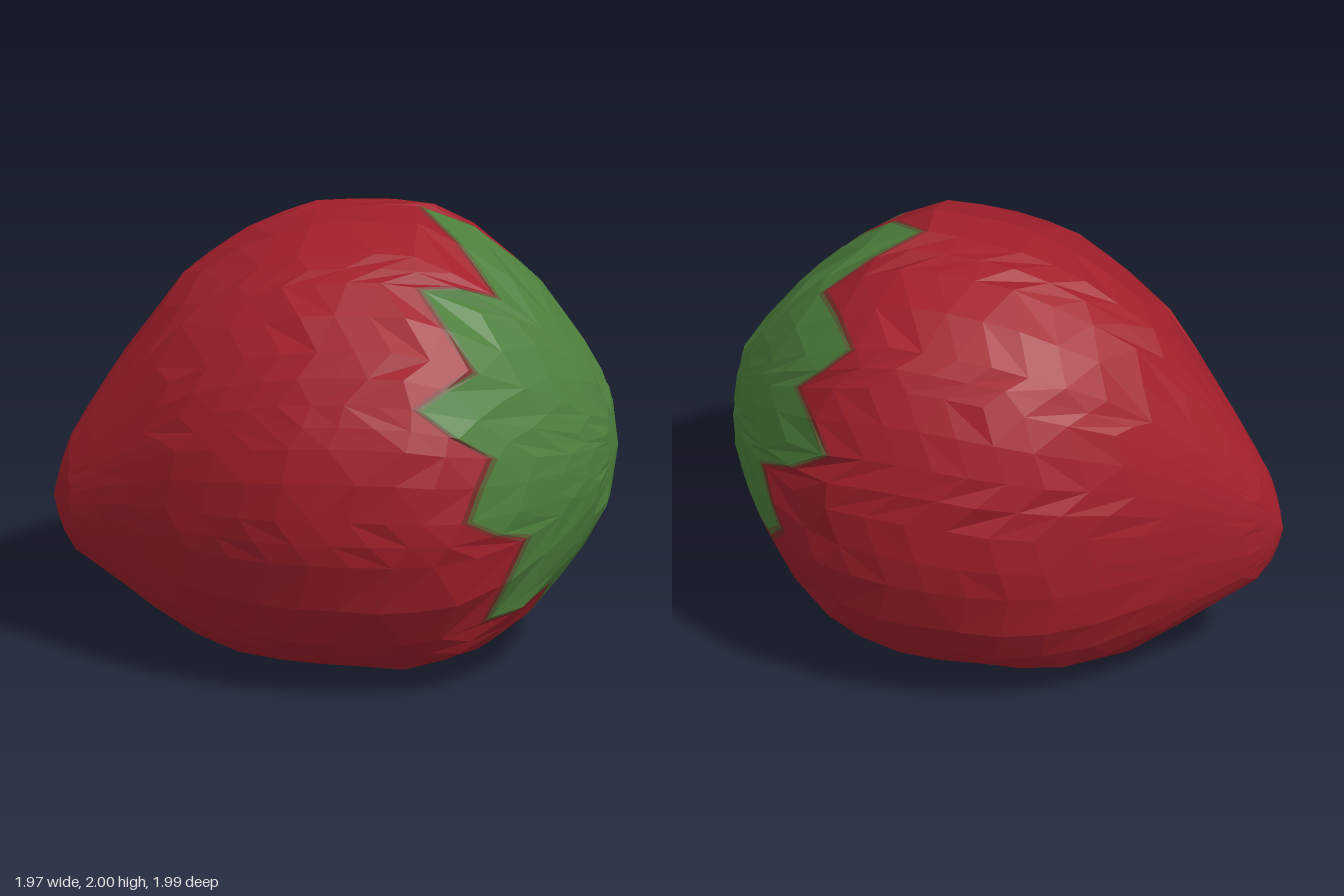
import * as THREE from 'three';

// Cross-sections along the berry's axis, tip to stem end:
// [u, half width, half height, centre y, sideways shift]
const SECTIONS = [
  [-1.32, 0, 0, 0.68, 0.03], [-1.29, 0.07, 0.13, 0.69, 0.03], [-1.24, 0.15, 0.26, 0.71, 0.02],
  [-1.05, 0.32, 0.48, 0.8, 0], [-0.76, 0.6, 0.785, 0.9, -0.02], [-0.5, 0.79, 0.92, 0.945, -0.03],
  [-0.25, 0.905, 0.985, 0.985, -0.02], [0, 0.93, 1, 1, -0.01], [0.25, 0.93, 1, 1, 0],
  [0.5, 0.86, 0.905, 0.975, 0], [0.75, 0.66, 0.715, 0.96, 0], [0.95, 0.41, 0.46, 0.96, 0],
  [1.07, 0.2, 0.26, 0.97, 0], [1.11, 0, 0, 0.97, 0],
];

// Leaf outline round the axis: [angle in degrees, u], tips and notches in turn
const LEAF_EDGE = [
  [-112, 0.68], [-93, 0.88], [-78, 0.71], [-60, 0.84], [-44, 0.59], [-15, 0.77],
  [-4, 0.53], [16, 0.63], [27, 0.31], [40, 0.54], [58, 0.29], [67, 0.61],
  [95, 0.25], [109, 0.65], [133, 0.42], [144, 0.67], [163, 0.47], [178, 0.84],
  [194, 0.72], [222, 0.88],
];
const STEPS = 2; // columns between neighbouring outline points
const RED_ROWS = 14, GREEN_ROWS = 5;

function seeded(seed) {
  return () => {
    seed = (seed * 16807) % 2147483647;
    return seed / 2147483647;
  };
}

// Fractional section index for an axis position
function indexAt(u) {
  let i = 0;
  while (i < SECTIONS.length - 2 && SECTIONS[i + 1][0] < u) i++;
  return i + (u - SECTIONS[i][0]) / (SECTIONS[i + 1][0] - SECTIONS[i][0]);
}

// Point on the body: full below, leaner on the upper left; the axis lies diagonally in plan
function surfacePoint(s, angle, scale) {
  const i = Math.min(Math.floor(s), SECTIONS.length - 2);
  const [u, r, h, cy, shift] = SECTIONS[i].map((a, k) => THREE.MathUtils.lerp(a, SECTIONS[i + 1][k], s - i));
  const cos = Math.cos(angle), sin = Math.sin(angle);
  const power = sin < 0 ? 0.86 : cos > 0 ? 1.18 : 0.95;
  const soft = (t) => Math.sign(t) * Math.abs(t) ** power;
  const v = shift + r * scale * soft(cos);
  const y = cy + h * scale * soft(sin);
  return new THREE.Vector3((u + v) * Math.SQRT1_2, THREE.MathUtils.clamp(y, 0, 2), (v - u) * Math.SQRT1_2);
}

// Flat-faceted skin between two rows of the point grid
function skin(grid, from, to) {
  const positions = [];
  const tri = (a, b, c) => {
    const area = b.clone().sub(a).cross(c.clone().sub(a)).length();
    if (area > 1e-7) for (const p of [a, b, c]) positions.push(p.x, p.y, p.z);
  };
  for (let i = from; i < to; i++) {
    const n = grid[i].length;
    for (let j = 0; j < n; j++) {
      const k = (j + 1) % n;
      const a = grid[i][j], b = grid[i + 1][j], c = grid[i + 1][k], d = grid[i][k];
      if ((i * 7 + j * 5) % 3) { tri(a, b, c); tri(a, c, d); }
      else { tri(a, b, d); tri(b, c, d); }
    }
  }
  const geometry = new THREE.BufferGeometry();
  geometry.setAttribute('position', new THREE.Float32BufferAttribute(positions, 3));
  geometry.computeVertexNormals();
  return geometry;
}

function material(name, color) {
  const m = new THREE.MeshStandardMaterial({ color });
  m.name = name;
  return m;
}

export function createModel() {
  const random = seeded(41);

  // Columns that pass exactly through every leaf tip and notch
  const columns = [];
  LEAF_EDGE.forEach(([angle, u], i) => {
    const next = LEAF_EDGE[(i + 1) % LEAF_EDGE.length];
    const nextAngle = next[0] > angle ? next[0] : next[0] + 360;
    for (let k = 0; k < STEPS; k++) {
      const t = k / STEPS;
      columns.push({
        angle: THREE.MathUtils.degToRad(THREE.MathUtils.lerp(angle, nextAngle, t)),
        u: THREE.MathUtils.lerp(u, next[1], t),
      });
    }
  });

  // Rows bend to follow the leaf outline, so flesh, rims and leaves share one surface
  const end = SECTIONS.length - 1;
  const rows = [];
  for (let i = 0; i <= RED_ROWS; i++) rows.push((u) => (indexAt(u - 0.02) * i) / RED_ROWS);
  rows.push((u) => indexAt(u + 0.002));
  for (let i = 0; i <= GREEN_ROWS; i++) {
    rows.push((u) => THREE.MathUtils.lerp(indexAt(u + 0.024), end, i / GREEN_ROWS));
  }
  // Rim rows share each column's jitter so the narrow bands stay smooth
  let jitter = [];
  const grid = rows.map((row, i) => {
    if (i <= RED_ROWS || i > RED_ROWS + 2) jitter = columns.map(() => 1.006 - 0.014 * random());
    return columns.map(({ angle, u }, j) => surfacePoint(row(u), angle, jitter[j]));
  });

  const group = new THREE.Group();
  group.name = 'strawberry';
  const add = (name, from, to, mat) => {
    const mesh = new THREE.Mesh(skin(grid, from, to), mat);
    mesh.name = name;
    group.add(mesh);
  };
  add('flesh', 0, RED_ROWS, material('berry red', 0xa21f2b));
  add('outerRim', RED_ROWS, RED_ROWS + 1, material('dark maroon', 0x7b2c28));
  add('innerRim', RED_ROWS + 1, RED_ROWS + 2, material('olive brown', 0x5a6034));
  add('leafCap', RED_ROWS + 2, rows.length - 1, material('leaf green', 0x4d803c));
  return group;
}
